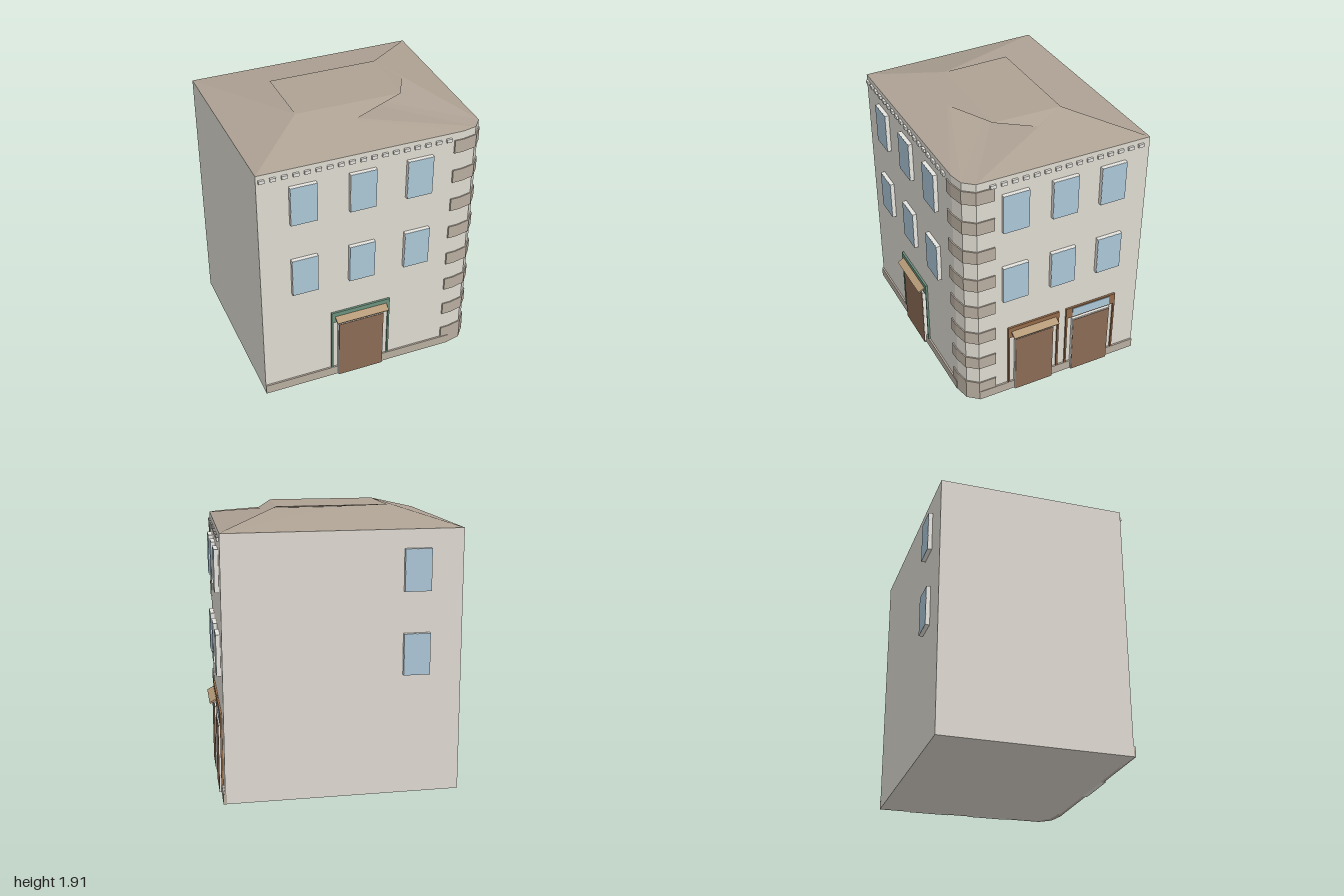
import * as THREE from 'three';

const paint = (color) => new THREE.MeshStandardMaterial({ color, flatShading: true });
const wallMat = paint(0xdedad1), stoneMat = paint(0xb8ada0), roofMat = paint(0xaea294);
const glassMat = paint(0xabc6d6), doorMat = paint(0x8a6b55), greenMat = paint(0x6c917d);
const brownMat = paint(0x946a4a), tanMat = paint(0xb59a78), trimMat = paint(0xe6e4de);
roofMat.side = THREE.DoubleSide;

// Footprint corners as [x, z]; the street corner is rounded by three points
const A = [-0.19, -1], B = [-0.92, 0.42], C = [0.23, 1];
const Q0 = [0.88, -0.235], Q1 = [0.907, -0.33], Q2 = [0.872, -0.415];
const EAVES = 1.8, TOP = 1.915;

function add(parent, name, geometry, material) {
  const mesh = new THREE.Mesh(geometry, material);
  mesh.name = name;
  parent.add(mesh);
  return mesh;
}

// Vertical prism over a plan outline
function prism(points, y, height) {
  const shape = new THREE.Shape(points.map(([x, z]) => new THREE.Vector2(x, -z)));
  const g = new THREE.ExtrudeGeometry(shape, { depth: height, bevelEnabled: false });
  return g.rotateX(-Math.PI / 2).translate(0, y, 0);
}

// Box on a facade: x0..x1 along the wall, y0..y1 up, z0..z1 outwards
function block(parent, name, mat, x0, x1, y0, y1, z0, z1) {
  const g = new THREE.BoxGeometry(x1 - x0, y1 - y0, z1 - z0);
  g.translate((x0 + x1) / 2, (y0 + y1) / 2, (z0 + z1) / 2);
  return add(parent, name, g, mat);
}

// Group whose x runs from p to q and whose z points out of the wall
function facade(parent, name, p, q) {
  const g = new THREE.Group();
  g.name = name;
  g.position.set(p[0], 0, p[1]);
  g.rotation.y = Math.atan2(p[1] - q[1], q[0] - p[0]);
  g.userData.length = Math.hypot(q[0] - p[0], q[1] - p[1]);
  parent.add(g);
  return g;
}

// Projecting surround with a pane over its front
function windows(wall, centres) {
  for (const x of centres) for (const y of [0.83, 1.393]) {
    block(wall, 'windowSurround', trimMat, x - 0.09, x + 0.09, y, y + 0.282, -0.01, 0.027);
    block(wall, 'windowPane', glassMat, x - 0.089, x + 0.089, y + 0.001, y + 0.281, 0.027, 0.029);
  }
}

function entrance(wall, x, width, frameWidth, mat, hasCanopy) {
  const w = width / 2, f = frameWidth / 2;
  block(wall, 'doorSurround', trimMat, x - w, x + w, 0, 0.475, -0.01, 0.022);
  block(wall, 'door', doorMat, x - w + 0.003, x + w - 0.003, 0, 0.465, 0.022, 0.025);
  block(wall, 'fascia', mat, x - f, x + f, 0.487, 0.572, -0.01, 0.014);
  for (const s of [-1, 1]) {
    const px = x + s * (f - 0.006);
    block(wall, 'doorPost', mat, px - 0.006, px + 0.006, 0.07, 0.49, -0.01, 0.014);
  }
  if (hasCanopy) {
    const c = f * 0.88;
    const canopy = block(wall, 'canopy', tanMat, -c, c, -0.012, 0, 0, 0.06);
    canopy.position.set(x, 0.542, 0.008);
    canopy.rotation.x = 0.5;
  } else {
    block(wall, 'transomPane', glassMat, x - f * 0.75, x + f * 0.75, 0.495, 0.562, 0.014, 0.017);
  }
}

// Base course, broken at the doors
function plinth(wall, gaps) {
  let x = 0;
  for (const [a, b] of [...gaps, [wall.userData.length, 0]]) {
    block(wall, 'plinth', stoneMat, x, a, 0, 0.07, -0.01, 0.012);
    x = b;
  }
}

function dentils(wall, from, to) {
  for (let x = from; x < to; x += 0.074)
    block(wall, 'dentil', trimMat, x, x + 0.038, 1.745, 1.768, -0.01, 0.015);
}

// Low hipped roof: overlapping slopes below a flat top
function roof() {
  const ridge = [[0.4, -0.2], [0.054, 0.445], [-0.363, 0.235], [-0.014, -0.437]];
  const points = [
    ...[C, Q0, Q1, Q2, A, B].map(([x, z]) => [x, EAVES, z]),
    ...ridge.map(([x, z]) => [x, TOP, z]),
  ];
  const faces = [
    [0, 1, 7], [0, 7, 6], [1, 2, 7], [2, 8, 7], [2, 3, 8], [3, 9, 8],
    [3, 4, 9], [4, 6, 9], [4, 5, 7], [4, 7, 6], [5, 0, 7], [6, 8, 7], [6, 9, 8],
  ];
  const g = new THREE.BufferGeometry();
  const data = faces.flat().flatMap((i) => points[i]);
  g.setAttribute('position', new THREE.Float32BufferAttribute(data, 3));
  g.computeVertexNormals();
  return g;
}

export function createModel() {
  const model = new THREE.Group();
  model.name = 'cornerBuilding';
  add(model, 'walls', prism([A, B, C, Q0, Q1, Q2], 0, EAVES), wallMat);
  add(model, 'roof', roof(), roofMat);

  // Quoins and base course wrapping the rounded corner
  const path = [[0.851, -0.18], Q0, Q1, Q2, [0.765, -0.474]];
  const shifted = (d) => path.map(([x, z]) => {
    const dx = x - 0.55, dz = z + 0.22, l = Math.hypot(dx, dz);
    return [x + (dx / l) * d, z + (dz / l) * d];
  });
  const band = [...shifted(0.009), ...shifted(-0.03).reverse()];
  for (let i = 0; i < 8; i++)
    add(model, 'quoin', prism(band, 0.06 + i * 0.227, 0.095), stoneMat);
  add(model, 'cornerPlinth', prism(band, 0, 0.07), stoneMat);

  // Long street front with one entrance
  const east = facade(model, 'longFront', C, Q0);
  windows(east, [0.298, 0.698, 1.092]);
  entrance(east, 0.7, 0.335, 0.43, greenMat, true);
  plinth(east, [[0.532, 0.868]]);
  dentils(east, 0.015, 1.32);

  // Short street front with two entrances
  const north = facade(model, 'shortFront', Q2, A);
  windows(north, [0.26, 0.605, 0.95]);
  entrance(north, 0.405, 0.29, 0.385, brownMat, true);
  entrance(north, 0.845, 0.29, 0.385, brownMat, false);
  plinth(north, [[0.26, 0.55], [0.7, 0.99]]);
  dentils(north, 0.09, 1.18);

  // Plain side wall with one column of windows
  windows(facade(model, 'sideWall', A, B), [1.286]);
  return model;
}
